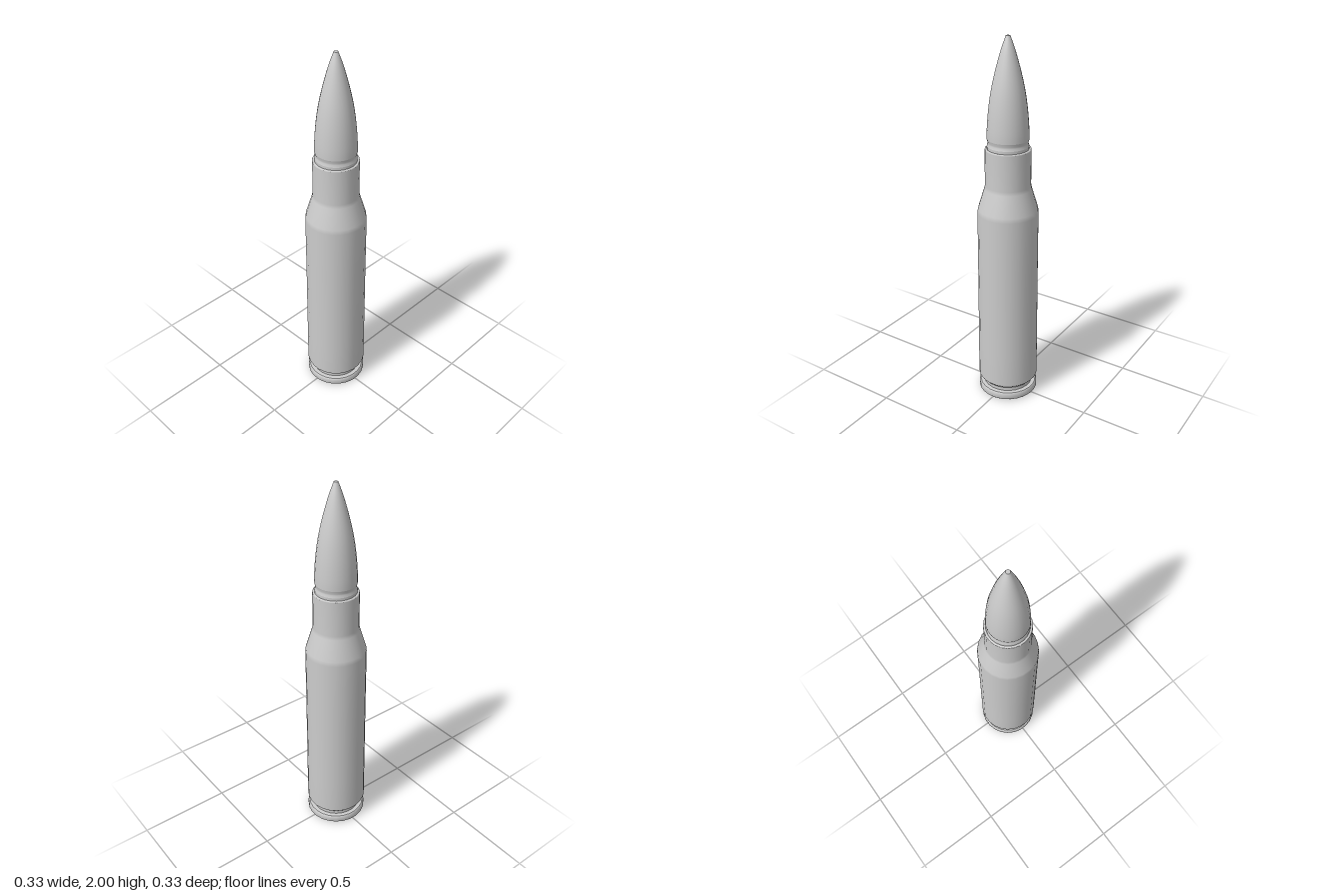
import * as THREE from 'three';
import { mergeGeometries } from 'three/addons/utils/BufferGeometryUtils.js';

const SIDES = 24;

// Revolves [radius, y] runs around the y axis; each run is smooth, joints between runs stay sharp
function turned(name, runs, material) {
  const parts = runs.map((run) => new THREE.LatheGeometry(
    run.map(([r, y]) => new THREE.Vector2(r, y)), SIDES, Math.PI / SIDES));
  const mesh = new THREE.Mesh(mergeGeometries(parts), material);
  mesh.name = name;
  return mesh;
}

export function createModel() {
  const group = new THREE.Group();
  group.name = 'cartridge';
  const material = new THREE.MeshStandardMaterial({ color: 0xcccccc });

  // Primer cap set in the base, with a narrow groove around it
  group.add(turned('primer', [
    [[0, 0.002], [0.074, 0.002]],
    [[0.074, 0.002], [0.078, 0.01]],
  ], material));

  // Base rim and extractor groove
  group.add(turned('rim', [
    [[0.078, 0.01], [0.082, 0]],
    [[0.082, 0], [0.157, 0]],
    [[0.157, 0], [0.165, 0.008], [0.165, 0.036], [0.157, 0.043]],
    [[0.157, 0.043], [0.136, 0.045]],
    [[0.136, 0.045], [0.136, 0.07]],
  ], material));

  // Case: flared foot, slightly tapered body, shoulder, neck and open mouth
  group.add(turned('case', [
    [[0.136, 0.07], [0.142, 0.07]],
    [[0.142, 0.07], [0.163, 0.092]],
    [[0.163, 0.092], [0.166, 0.1], [0.165, 0.3], [0.162, 0.8], [0.161, 1.09], [0.158, 1.115],
      [0.124, 1.225], [0.12, 1.245], [0.119, 1.435]],
    [[0.119, 1.435], [0.118, 1.44], [0.108, 1.44]],
    [[0.108, 1.44], [0.102, 1.43]],
  ], material));

  // Bullet: crimp groove, curved nose and small flat tip
  const nose = new THREE.SplineCurve([
    [0.108, 1.49], [0.107, 1.54], [0.1, 1.63], [0.086, 1.73], [0.064, 1.83], [0.036, 1.93], [0.013, 1.994],
  ].map(([r, y]) => new THREE.Vector2(r, y))).getPoints(20).map((p) => [p.x, p.y]);
  group.add(turned('bullet', [
    [[0.108, 1.43], [0.108, 1.455]],
    [[0.108, 1.455], [0.104, 1.467], [0.104, 1.475], [0.108, 1.49]],
    nose,
    [[0.013, 1.994], [0.011, 2]],
    [[0.011, 2], [0, 2]],
  ], material));

  return group;
}
